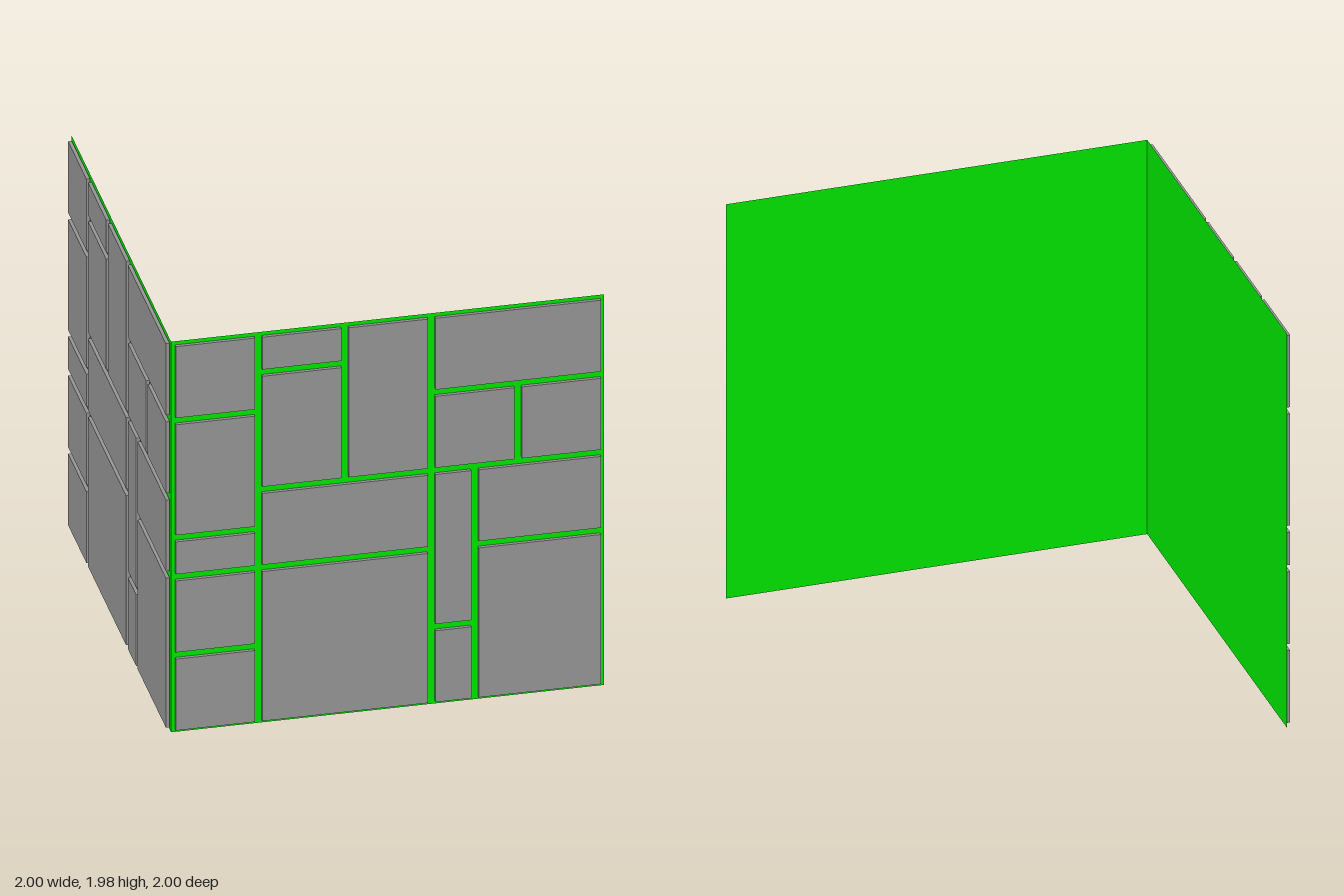
import * as THREE from 'three';

const CELL = 0.198;       // layout module
const SIZE = CELL * 10;   // wall side
const GAP = 0.017;        // half of the joint width
const DEPTH = 0.02;       // slab face in front of the backing
const LIFT = 0.003;       // space between backing and slab

// Slabs on a 10 x 10 layout: column, row (from the bottom), width, height
const SLABS = [
  [0, 0, 2, 2], [0, 2, 2, 2], [0, 4, 2, 1], [0, 5, 2, 3], [0, 8, 2, 2],
  [2, 0, 4, 4], [2, 4, 4, 2], [2, 6, 2, 3], [2, 9, 2, 1], [4, 6, 2, 4],
  [6, 0, 1, 2], [6, 2, 1, 4], [7, 0, 3, 4], [7, 4, 3, 2],
  [6, 6, 2, 2], [8, 6, 2, 2], [6, 8, 4, 2],
];

export function createModel() {
  const stone = new THREE.MeshStandardMaterial({ color: 0x959595 });
  stone.name = 'grey stone';
  const green = new THREE.MeshStandardMaterial({ color: 0x00e600, side: THREE.DoubleSide });
  green.name = 'green backing';

  // One wall: a thin backing sheet with raised slabs on its +z side
  function makeWall(name) {
    const wall = new THREE.Group();
    wall.name = name;
    const backing = new THREE.Mesh(new THREE.PlaneGeometry(SIZE, SIZE), green);
    backing.name = 'backing';
    backing.position.set(SIZE / 2, SIZE / 2, 0);
    wall.add(backing);
    for (const [c, r, w, h] of SLABS) {
      const slab = new THREE.Mesh(
        new THREE.BoxGeometry(w * CELL - 2 * GAP, h * CELL - 2 * GAP, DEPTH - LIFT), stone);
      slab.name = 'slab';
      slab.position.set((c + w / 2) * CELL, (r + h / 2) * CELL, (DEPTH + LIFT) / 2);
      wall.add(slab);
    }
    return wall;
  }

  const model = new THREE.Group();
  model.name = 'stoneCornerWall';

  const frontWall = makeWall('frontWall');
  frontWall.position.set(1 - SIZE, 0, 1 - DEPTH);

  // Same wall turned to face -x, meeting the front wall at the corner
  const sideWall = makeWall('sideWall');
  sideWall.rotation.y = -Math.PI / 2;
  sideWall.position.set(DEPTH - 1, 0, 1 - DEPTH - SIZE);

  model.add(frontWall, sideWall);
  return model;
}
